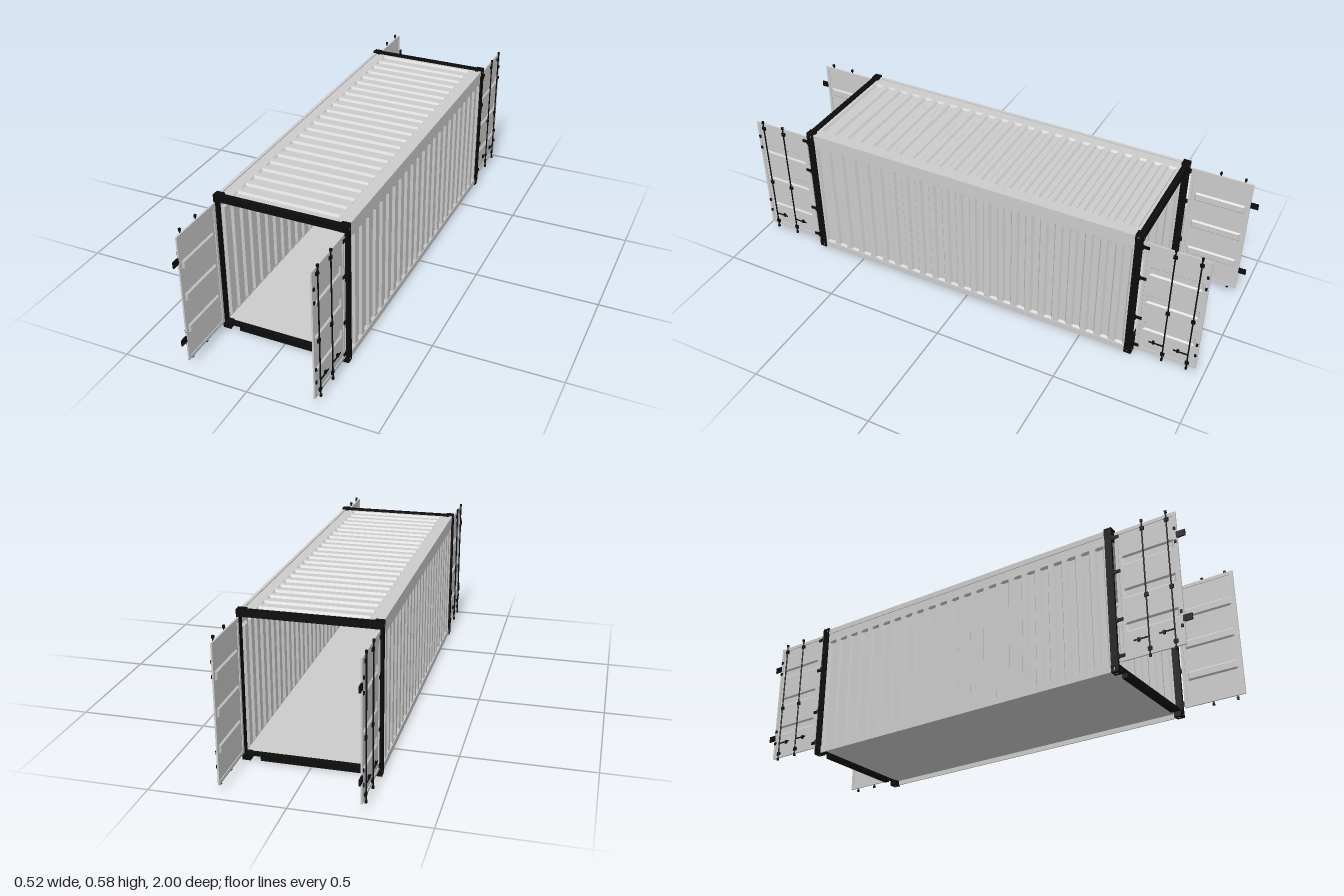
import * as THREE from 'three';

const grey = new THREE.MeshStandardMaterial({ color: 0xcccccc, side: THREE.DoubleSide, flatShading: true });
const black = new THREE.MeshStandardMaterial({ color: 0x0c0c0c });

function add(parent, name, geometry, material, x = 0, y = 0, z = 0) {
  const mesh = new THREE.Mesh(geometry, material);
  mesh.name = name;
  mesh.position.set(x, y, z);
  parent.add(mesh);
  return mesh;
}

function box(parent, name, material, w, h, d, x, y, z) {
  return add(parent, name, new THREE.BoxGeometry(w, h, d), material, x, y, z);
}

// Stations of a row of pressed dents: [position, 0 or 1] pairs
function dents(start, end, centres, half, slope) {
  const list = [[start, 0]];
  for (const c of centres) {
    list.push([c - half - slope, 0], [c - half, 1], [c + half, 1], [c + half + slope, 0]);
  }
  list.push([end, 0]);
  return list;
}

// Pressed sheet: depth is the product of the two station rows, placed by map(u, v, depth)
function pressedSheet(us, vs, depth, map) {
  const pos = [], index = [], n = vs.length;
  us.forEach(([u, a], i) => vs.forEach(([v, b], j) => {
    pos.push(...map(u, v, a * b * depth));
    if (i && j) {
      const p = i * n + j;
      index.push(p - n - 1, p - 1, p, p - n - 1, p, p - n);
    }
  }));
  const g = new THREE.BufferGeometry();
  g.setAttribute('position', new THREE.Float32BufferAttribute(pos, 3));
  g.setIndex(index);
  const flat = g.toNonIndexed();
  flat.computeVertexNormals();
  return flat;
}

// Plate with an oval hole, centred on the origin and facing +z
function holedPlate(w, h, t) {
  const s = new THREE.Shape();
  s.moveTo(-w / 2, -h / 2).lineTo(w / 2, -h / 2).lineTo(w / 2, h / 2).lineTo(-w / 2, h / 2).closePath();
  const hole = new THREE.Path();
  hole.absellipse(0, 0, w * 0.25, h * 0.32, 0, Math.PI * 2, true);
  s.holes.push(hole);
  return new THREE.ExtrudeGeometry(s, { depth: t, bevelEnabled: false, curveSegments: 6 });
}

// Corner block with lifting holes on its three outer faces
function cornerCasting(sx, sy, sz) {
  const g = new THREE.Group(), w = 0.032, h = 0.027, d = 0.03, t = 0.004;
  g.name = 'cornerCasting';
  box(g, 'castingCore', black, w - t, h - t, d - t, -sx * t / 2, -sy * t / 2, -sz * t / 2);
  const end = add(g, 'castingEndFace', holedPlate(w, h, t), black, 0, 0, sz * (d / 2 - t));
  if (sz < 0) end.rotation.y = Math.PI;
  const side = add(g, 'castingSideFace', holedPlate(d, h, t), black, sx * (w / 2 - t), 0, 0);
  side.rotation.y = sx * Math.PI / 2;
  const cap = add(g, 'castingCapFace', holedPlate(w, d, t), black, 0, sy * (h / 2 - t), 0);
  cap.rotation.x = -sy * Math.PI / 2;
  g.position.set(sx * (0.26 - w / 2), sy > 0 ? 0.581 - h / 2 : h / 2, sz * (0.716 - d / 2));
  return g;
}

// Door swung straight out from the corner post at (sx, sz)
function openDoor(sx, sz) {
  const g = new THREE.Group();
  g.name = 'door';
  const rows = dents(0.045, 0.545, [0.16, 0.295, 0.43], 0.013, 0.006);
  const across = [[0.73, 0], [0.748, 0], [0.755, 1], [0.945, 1], [0.952, 0], [0.966, 0]];
  add(g, 'doorPanel', pressedSheet(across, rows, 0.006, (u, v, d) => [sx * (0.25 - d), v, sz * u]), grey);

  // Border of the leaf
  for (const y of [0.041, 0.549]) box(g, 'doorRail', grey, 0.006, 0.014, 0.245, sx * 0.25, y, sz * 0.8475);
  for (const z of [0.731, 0.964]) box(g, 'doorStile', grey, 0.006, 0.52, 0.012, sx * 0.25, 0.295, sz * z);

  // Hinges
  for (const y of [0.055, 0.195, 0.39, 0.535]) {
    box(g, 'hingeLeaf', black, 0.004, 0.012, 0.036, sx * 0.255, y, sz * 0.724);
    add(g, 'hingePin', new THREE.CylinderGeometry(0.004, 0.004, 0.018, 8), black, sx * 0.257, y, sz * 0.718);
  }

  // Locking bars with brackets, cam ends and handles
  for (const z of [0.838, 0.935]) {
    add(g, 'lockingBar', new THREE.CylinderGeometry(0.0028, 0.0028, 0.55, 8), black, sx * 0.257, 0.295, sz * z);
    for (const y of [0.052, 0.262, 0.533]) {
      box(g, 'barBracket', black, 0.007, 0.014, 0.015, sx * 0.2555, y, sz * z);
    }
    for (const y of [0.026, 0.564]) box(g, 'camEnd', black, 0.008, 0.01, 0.008, sx * 0.257, y, sz * z);
    box(g, 'handle', black, 0.003, 0.005, 0.055, sx * 0.259, 0.097, sz * (z - 0.03));
    box(g, 'handleCatch', black, 0.007, 0.014, 0.009, sx * 0.2565, 0.097, sz * (z - 0.04));
  }

  // Edge studs, and overlap tabs on one leaf of each pair
  for (const y of [0.13, 0.46]) {
    for (const dy of [-0.027, 0.027]) box(g, 'edgeStud', black, 0.005, 0.012, 0.008, sx * 0.255, y + dy, sz * 0.962);
    if (sx < 0) box(g, 'overlapTab', black, 0.006, 0.024, 0.034, sx * 0.251, y, sz * 0.983);
  }
  return g;
}

export function createModel() {
  const model = new THREE.Group();
  model.name = 'shippingContainer';
  const ribs = Array.from({ length: 23 }, (_, i) => (i - 11) * 0.06);
  const lengthwise = dents(-0.7, 0.7, ribs, 0.012, 0.007);

  // Roof and floor
  const roofAcross = [[-0.25, 0], [-0.205, 0], [-0.198, 1], [0.198, 1], [0.205, 0], [0.25, 0]];
  add(model, 'roof', pressedSheet(lengthwise, roofAcross, 0.008, (u, v, d) => [v, 0.571 - d, u]), grey);
  box(model, 'floor', grey, 0.5, 0.005, 1.4, 0, 0.024, 0);

  // Side walls with top and bottom rails
  const wallUp = [[0.003, 0], [0.03, 0], [0.036, 1], [0.508, 1], [0.516, 0], [0.56, 0]];
  for (const sx of [1, -1]) {
    add(model, 'sideWall', pressedSheet(lengthwise, wallUp, 0.009, (u, v, d) => [sx * (0.253 - d), v, u]), grey);
    box(model, 'topSideRail', grey, 0.012, 0.022, 1.4, sx * 0.25, 0.564, 0);
    box(model, 'bottomSideRail', grey, 0.005, 0.026, 1.4, sx * 0.2535, 0.016, 0);
  }

  // End frames and doors
  for (const sz of [1, -1]) {
    box(model, 'topBeam', black, 0.47, 0.025, 0.022, 0, 0.566, sz * 0.703);
    box(model, 'sillPlate', black, 0.5, 0.009, 0.022, 0, 0.0235, sz * 0.703);
    box(model, 'sillBeam', black, 0.38, 0.018, 0.022, 0, 0.0115, sz * 0.703);
    for (const sx of [1, -1]) {
      box(model, 'cornerPost', black, 0.01, 0.54, 0.028, sx * 0.2545, 0.29, sz * 0.701);
      for (const sy of [1, -1]) model.add(cornerCasting(sx, sy, sz));
      model.add(openDoor(sx, sz));
    }
  }
  return model;
}
